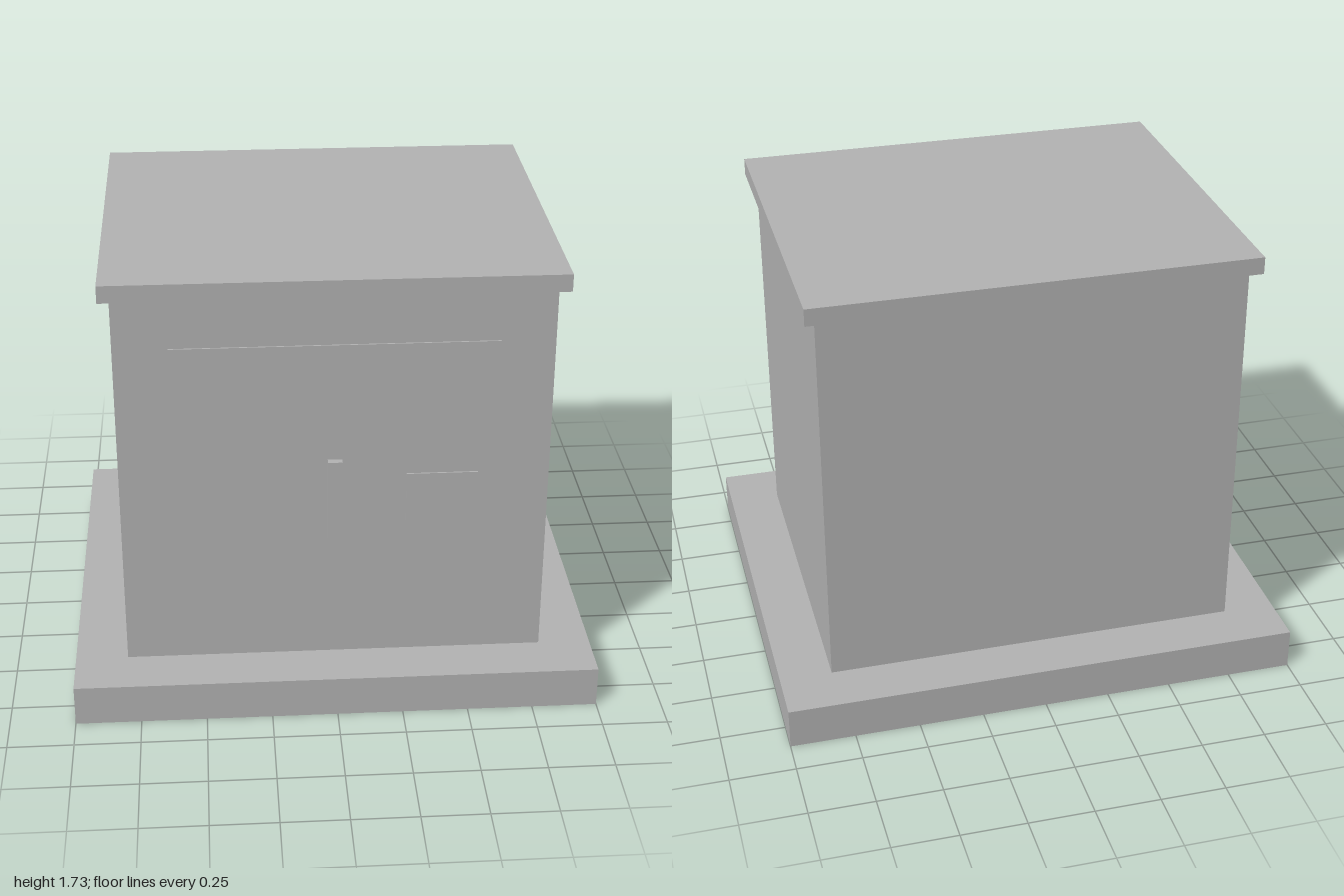
import * as THREE from 'three';

// All parts share one plain grey; the shells are open underneath.
const grey = new THREE.MeshStandardMaterial({ color: 0xb2b2b2, side: THREE.DoubleSide });
grey.name = 'plain grey';

// Box placed by its limits along x, y and z, optionally without a bottom face.
function block(name, [x0, x1], [y0, y1], [z0, z1], openBottom = false) {
  const geometry = new THREE.BoxGeometry(x1 - x0, y1 - y0, z1 - z0);
  if (openBottom) {
    // Face order is +x, -x, +y, -y, +z, -z with six indices each.
    const index = Array.from(geometry.index.array);
    index.splice(18, 6);
    geometry.setIndex(index);
    geometry.clearGroups();
  }
  const mesh = new THREE.Mesh(geometry, grey);
  mesh.name = name;
  mesh.position.set((x0 + x1) / 2, (y0 + y1) / 2, (z0 + z1) / 2);
  return mesh;
}

export function createModel() {
  const group = new THREE.Group();
  group.name = 'cabinet';
  const front = 0.667;

  // Hollow plinth, body and overhanging lid
  group.add(block('plinth', [-1, 1], [0, 0.16], [-0.867, 0.867], true));
  group.add(block('body', [-0.8, 0.8], [0.16, 1.667], [-front, front], true));
  group.add(block('lid', [-0.84, 0.84], [1.667, 1.733], [-0.707, 0.707], true));

  // Thin raised plates and the handle on the front
  group.add(block('upperPlate', [-0.6, 0.6], [1.133, 1.467], [front, 0.673]));
  group.add(block('smallPlate', [0.267, 0.533], [0.733, 0.933], [front, 0.673]));
  group.add(block('handle', [-0.027, 0.027], [0.667, 1], [front, 0.693]));

  return group;
}
